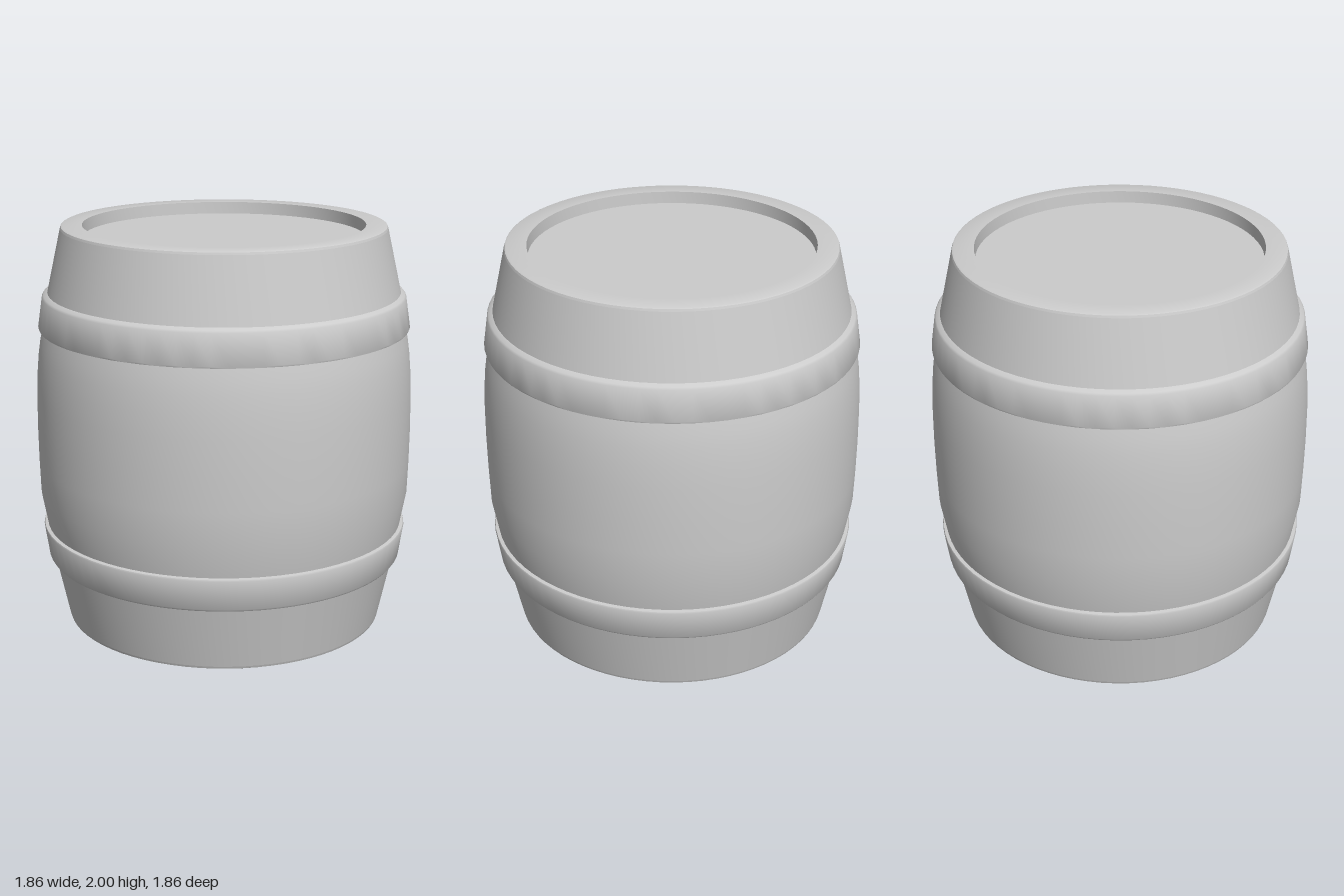
import * as THREE from 'three';
import { toCreasedNormals } from 'three/addons/utils/BufferGeometryUtils.js';

const SEGMENTS = 72;

export function createModel() {
  const barrel = new THREE.Group();
  barrel.name = 'barrel';
  const material = new THREE.MeshStandardMaterial({ color: 0xcccccc, side: THREE.DoubleSide });

  // Turn a [radius, height] profile around the y axis
  const turn = (name, profile) => {
    const points = profile.map(([r, y]) => new THREE.Vector2(r, y));
    const mesh = new THREE.Mesh(toCreasedNormals(new THREE.LatheGeometry(points, SEGMENTS), 0.6), material);
    mesh.name = name;
    barrel.add(mesh);
  };

  // Thin shell, open underneath
  turn('bottomRim', [[0.69, 0], [0.785, 0], [0.793, 0.004], [0.797, 0.015]]);
  turn('lowerStaves', [[0.797, 0.015], [0.866, 0.333]]);
  turn('lowerHoop', [[0.866, 0.333], [0.886, 0.335], [0.893, 0.345], [0.915, 0.492], [0.912, 0.5], [0.895, 0.503]]);
  turn('bellyStaves', [
    [0.895, 0.503], [0.925, 0.667], [0.93, 0.83], [0.932, 1], [0.93, 1.17],
    [0.925, 1.28], [0.917, 1.37], [0.907, 1.44], [0.895, 1.497],
  ]);
  turn('upperHoop', [[0.895, 1.497], [0.912, 1.5], [0.915, 1.508], [0.893, 1.655], [0.886, 1.665], [0.866, 1.675]]);
  turn('upperStaves', [[0.866, 1.675], [0.797, 1.985]]);
  turn('topRim', [[0.797, 1.985], [0.793, 1.996], [0.785, 2], [0.69, 2], [0.687, 1.94]]);

  // Sunken lid on top
  turn('lid', [[0.687, 1.94], [0, 1.94]]);

  // Flat partition inside, seen through the open bottom
  const partition = new THREE.Mesh(new THREE.CircleGeometry(0.924, SEGMENTS).rotateX(Math.PI / 2), material);
  partition.name = 'innerPartition';
  partition.position.y = 0.667;
  barrel.add(partition);

  return barrel;
}
